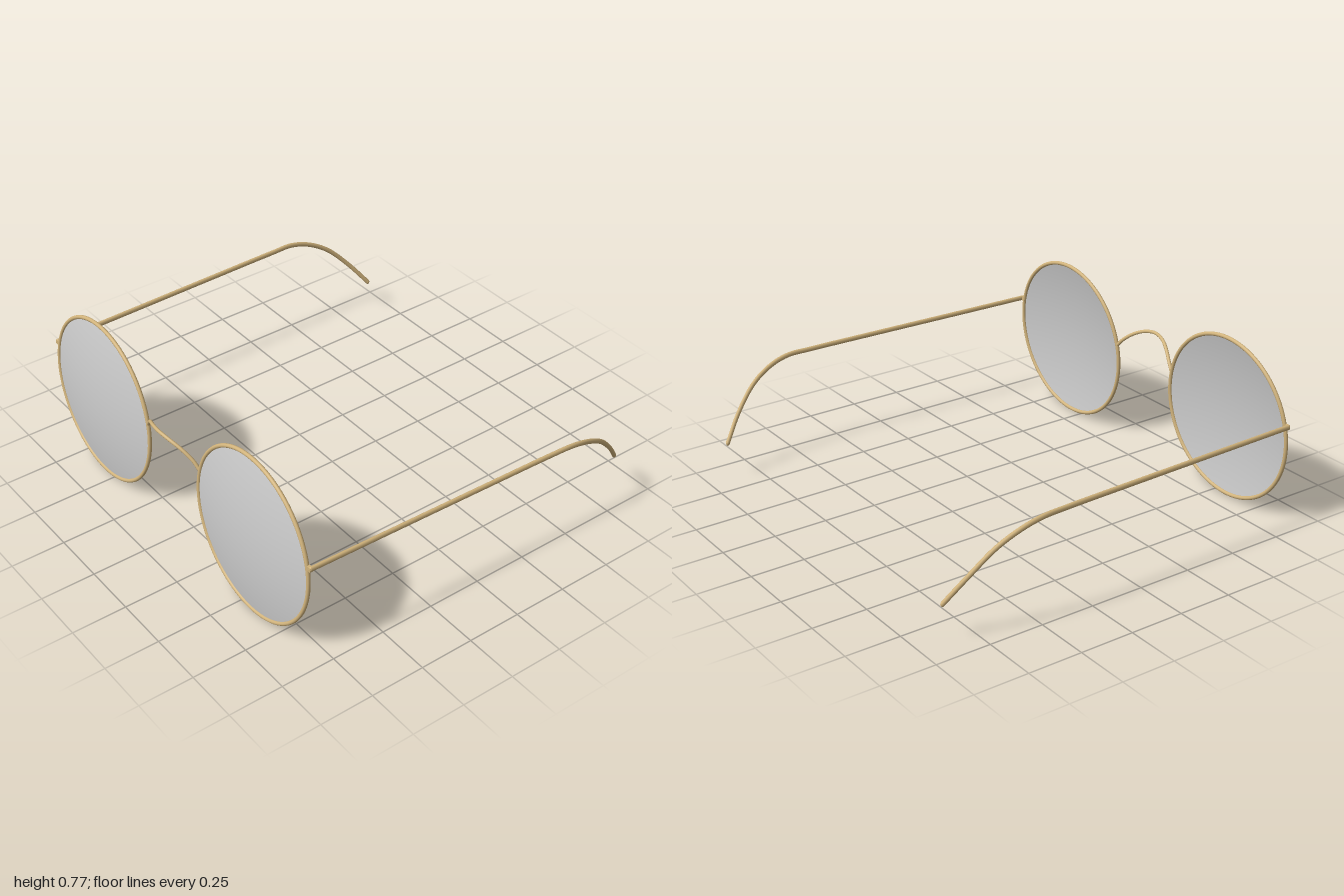
import * as THREE from 'three';

const gold = new THREE.MeshStandardMaterial({ color: 0xd2b47c });
const glass = new THREE.MeshStandardMaterial({ color: 0xcccccc, side: THREE.DoubleSide });

const RIM_RADIUS = 0.378, WIRE = 0.009, SAG = 0.038;

function addMesh(parent, name, geometry, material) {
  const mesh = new THREE.Mesh(geometry, material);
  mesh.name = name;
  parent.add(mesh);
  return mesh;
}

// Smooth curve through points given as [x, y, z]
const curveThrough = (points) =>
  new THREE.CatmullRomCurve3(points.map((p) => new THREE.Vector3(...p)), false, 'centripetal');

// Round wire rim holding a shallow domed lens, leaning back at the top
function makeEyepiece(side) {
  const group = new THREE.Group();
  group.name = side > 0 ? 'leftEyepiece' : 'rightEyepiece';
  addMesh(group, 'rim', new THREE.TorusGeometry(RIM_RADIUS, WIRE, 12, 96), gold);

  const radius = (RIM_RADIUS ** 2 + SAG ** 2) / (2 * SAG);
  const dome = new THREE.SphereGeometry(radius, 72, 12, 0, Math.PI * 2, 0, Math.asin(RIM_RADIUS / radius));
  dome.rotateX(Math.PI / 2).translate(0, 0, SAG - radius);
  addMesh(group, 'lens', dome, glass);

  group.position.set(side * 0.565, 0.388, 0.828);
  group.rotation.x = -0.045;
  return group;
}

// Long arm, taller than wide, curling down and inward behind the ear
function makeTemple(side) {
  const group = new THREE.Group();
  group.name = side > 0 ? 'leftTemple' : 'rightTemple';
  const tall = 1.35;
  const path = [
    [0.952, 0.482, 0.822], [0.962, 0.481, 0.45], [0.975, 0.48, 0], [0.986, 0.478, -0.38],
    [0.99, 0.474, -0.5], [0.982, 0.445, -0.6], [0.962, 0.386, -0.7],
    [0.927, 0.283, -0.8], [0.88, 0.17, -0.888],
  ].map(([x, y, z]) => [side * x, y / tall, z]);
  const arm = new THREE.TubeGeometry(curveThrough(path), 90, WIRE, 10);
  addMesh(group, 'arm', arm.scale(1, tall, 1), gold);

  // Rounded ends
  for (const [name, p] of [['hingeEnd', path[0]], ['earTip', path[path.length - 1]]]) {
    const cap = new THREE.SphereGeometry(WIRE, 12, 8).translate(...p).scale(1, tall, 1);
    addMesh(group, name, cap, gold);
  }

  // Short link from the rim to the arm
  const link = addMesh(group, 'hinge', new THREE.BoxGeometry(0.03, 0.02, 0.014), gold);
  link.position.set(side * 0.942, 0.481, 0.823);
  return group;
}

export function createModel() {
  const model = new THREE.Group();
  model.name = 'glasses';
  for (const side of [1, -1]) model.add(makeEyepiece(side), makeTemple(side));

  // Arched nose bridge, bowed up and forward
  const half = [[0.194, 0.478, 0.824], [0.165, 0.512, 0.834], [0.115, 0.552, 0.857], [0.06, 0.577, 0.878]];
  const bridge = curveThrough([
    ...half.map(([x, y, z]) => [-x, y, z]), [0, 0.586, 0.887], ...half.slice().reverse(),
  ]);
  addMesh(model, 'bridge', new THREE.TubeGeometry(bridge, 48, 0.008, 10), gold);
  return model;
}
